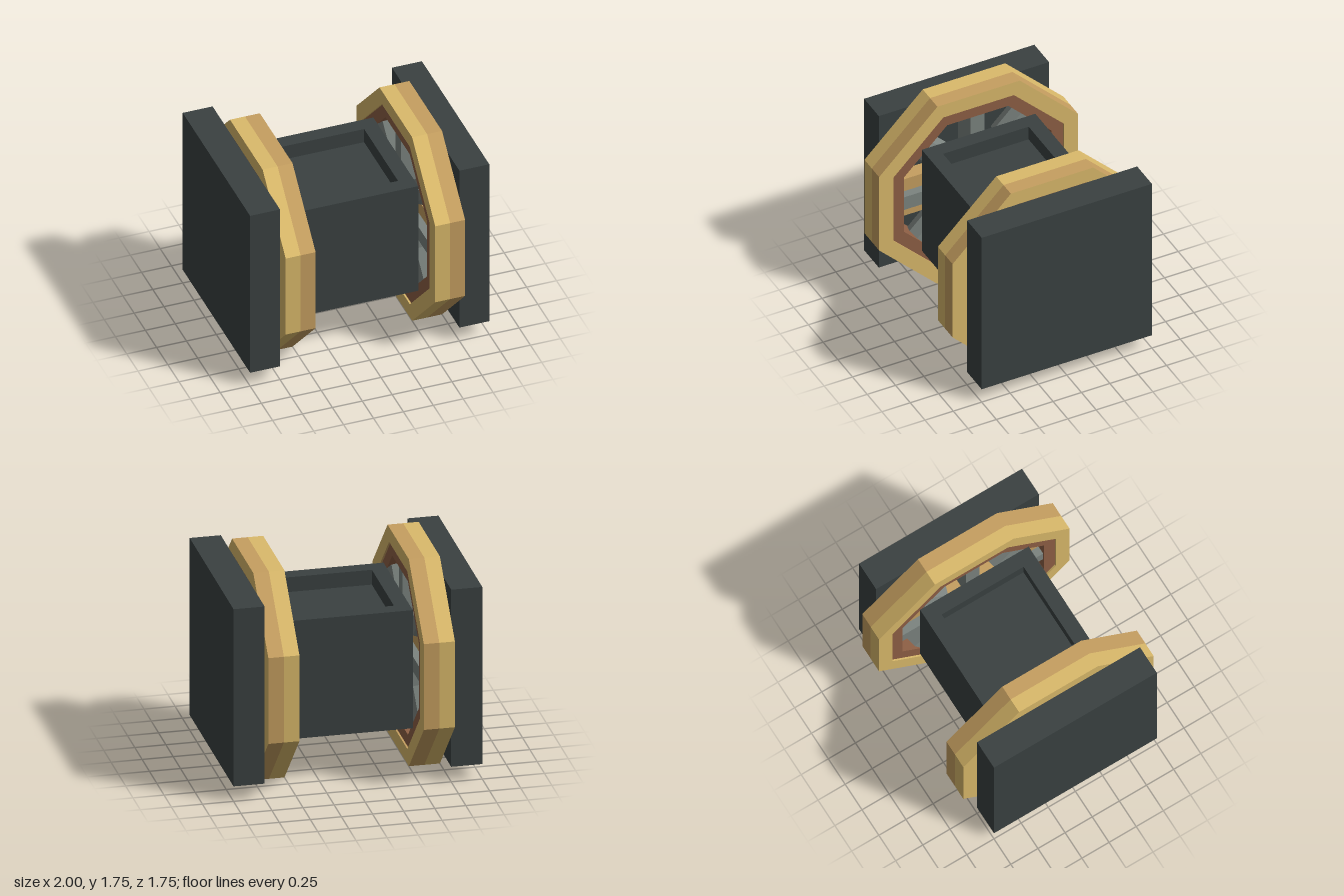
import * as THREE from 'three';

const CY = 0.877; // height of the wheel axis

function octagon(apothem, Kind) {
  const shape = new Kind();
  const r = apothem / Math.cos(Math.PI / 8);
  for (let i = 0; i < 8; i++) {
    const a = (i + 0.5) * Math.PI / 4;
    const p = [r * Math.cos(a), r * Math.sin(a)];
    if (i) shape.lineTo(...p); else shape.moveTo(...p);
  }
  shape.closePath();
  return shape;
}

// Octagonal ring around the x axis, from x0 to x1
function ringGeometry(outer, inner, x0, x1) {
  const shape = octagon(outer, THREE.Shape);
  shape.holes.push(octagon(inner, THREE.Path));
  const g = new THREE.ExtrudeGeometry(shape, { depth: x1 - x0, bevelEnabled: false });
  g.translate(0, 0, x0);
  g.rotateY(Math.PI / 2);
  return g;
}

export function createModel() {
  const model = new THREE.Group();
  const mat = (name, color) => {
    const m = new THREE.MeshStandardMaterial({ color });
    m.name = name;
    return m;
  };
  const slate = mat('slate', 0x3a4141);
  const gold = mat('gold', 0xdbba6b);
  const copper = mat('copper', 0xc69f60);
  const brown = mat('brown', 0x8f6045);
  const grey = mat('grey', 0x7c8480);

  const add = (name, geo, material, parent = model) => {
    const mesh = new THREE.Mesh(geo, material);
    mesh.name = name;
    parent.add(mesh);
    return mesh;
  };
  const box = (name, w, h, d, x, y, z, material, parent) => {
    const m = add(name, new THREE.BoxGeometry(w, h, d), material, parent);
    m.position.set(x, y, z);
    return m;
  };

  // Central block with a square recess above and below
  box('core', 1, 0.75, 1, 0, CY, 0, slate);
  const rim = new THREE.Shape([[-0.5, -0.5], [0.5, -0.5], [0.5, 0.5], [-0.5, 0.5]]
    .map(p => new THREE.Vector2(...p)));
  rim.holes.push(new THREE.Path([[-0.377, -0.377], [-0.377, 0.377], [0.377, 0.377], [0.377, -0.377]]
    .map(p => new THREE.Vector2(...p))));
  const rimGeo = new THREE.ExtrudeGeometry(rim, { depth: 0.125, bevelEnabled: false });
  rimGeo.translate(0, 0, -0.0625);
  rimGeo.rotateX(-Math.PI / 2);
  for (const s of [-1, 1]) {
    add(s > 0 ? 'topRim' : 'bottomRim', rimGeo, slate).position.y = CY + s * 0.4375;
  }

  // Wheel halves: the half towards -x is gold, the other has a copper rim
  const goldHalf = ringGeometry(0.877, 0.752, -0.125, 0);
  const copperHalf = ringGeometry(0.877, 0.752, 0, 0.125);
  const lining = ringGeometry(0.752, 0.65, -0.11, 0.11);
  const coil = new THREE.CylinderGeometry(0.12, 0.12, 0.26, 8).toNonIndexed();
  coil.computeVertexNormals();

  for (const s of [-1, 1]) {
    const side = s > 0 ? 'left' : 'right';
    box(side + 'Plate', 0.25, 1.5, 1.5, s * 0.875, CY, 0, slate);

    const wheel = new THREE.Group();
    wheel.name = side + 'Wheel';
    wheel.position.set(s * 0.625, CY, 0);
    model.add(wheel);
    add('goldRing', goldHalf, gold, wheel);
    add('copperRing', copperHalf, [gold, copper], wheel);
    add('lining', lining, brown, wheel);

    // Crossed spokes, backing bar and diagonal coils inside the wheel
    box('verticalSpoke', 0.21, 1.3, 0.125, 0, 0, 0, grey, wheel);
    box('horizontalSpoke', 0.2, 0.125, 1.3, 0, 0, 0, grey, wheel);
    box('backingBar', 0.12, 0.36, 1.3, s * 0.03, 0, 0, copper, wheel);
    for (let i = 0; i < 4; i++) {
      const a = (i + 0.5) * Math.PI / 2;
      const c = add('coil', coil, grey, wheel);
      c.rotation.x = a;
      c.position.set(0, 0.52 * Math.cos(a), 0.52 * Math.sin(a));
    }
  }
  return model;
}
